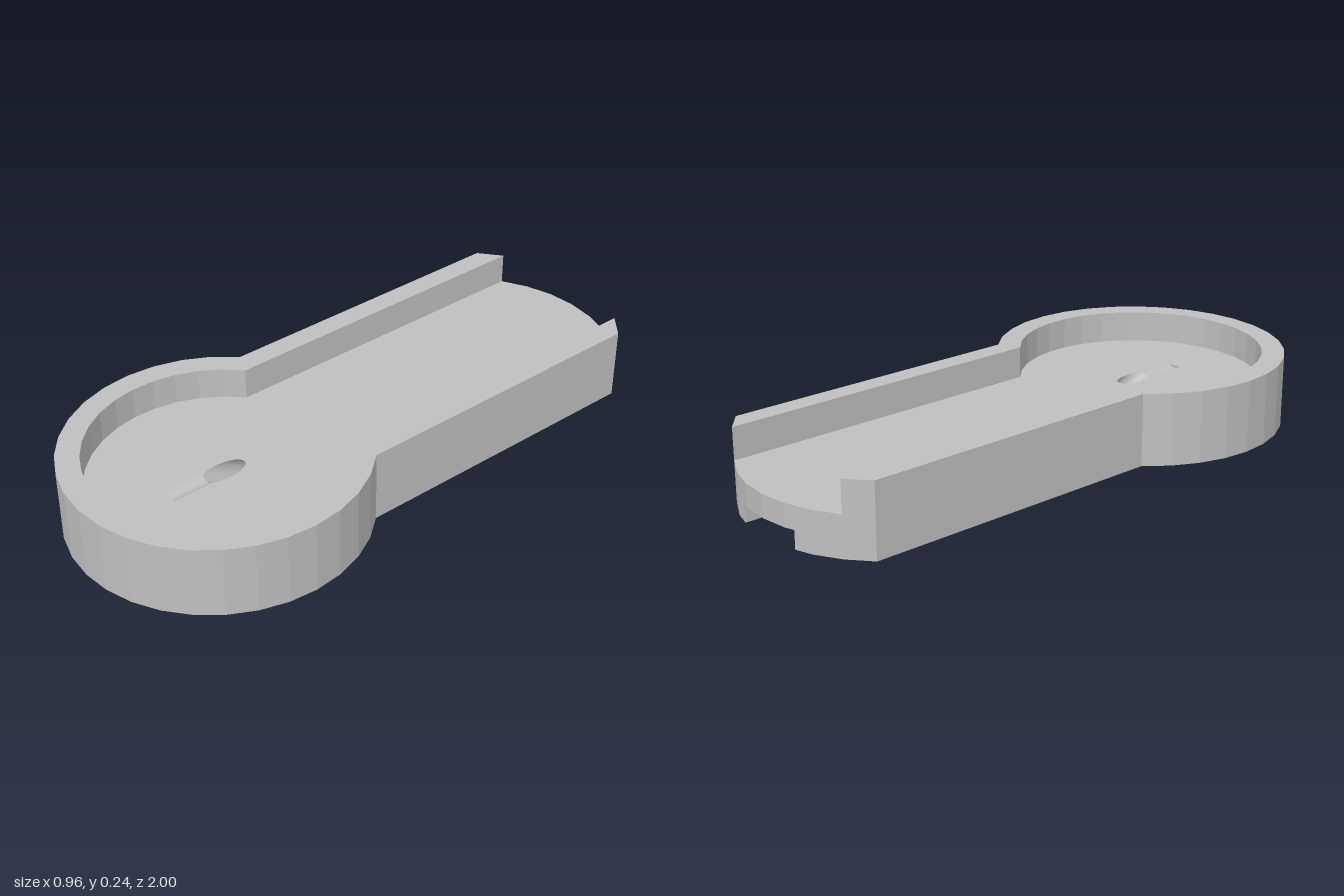
import * as THREE from 'three';

const H = 0.24, FLOOR = 0.135, CEIL = 0.06;      // rim, tray floor, slot ceiling heights
const SLOT = 0.125, SLOT_Z = 0.4, GROOVE_Z = 0.695;
const R = 0.48, RI = 0.405, CZ = 0.52;
const BORE = 0.037, BORE_L = 0.079, SHIFT = 0.139, K = (FLOOR - CEIL) / SHIFT;
const rad = THREE.MathUtils.degToRad;

// points [x, z] on a circle, angle 0 at the front, growing towards +x
function arc(cz, r, a0, a1, n) {
  return Array.from({ length: n + 1 }, (_, i) => {
    const a = rad(a0 + (a1 - a0) * i / n);
    return [r * Math.sin(a), cz + r * Math.cos(a)];
  });
}

const range = (a, b, n) => Array.from({ length: n + 1 }, (_, i) => rad(a + (b - a) * i / n));

// strip of quads between two rows of 3D points
function loft(low, high, smooth = false) {
  const pos = [...low, ...high].flat(), idx = [], n = low.length;
  for (let i = 0; i < n - 1; i++) idx.push(i, i + 1, n + i + 1, i, n + i + 1, n + i);
  let g = new THREE.BufferGeometry();
  g.setAttribute('position', new THREE.Float32BufferAttribute(pos, 3));
  g.setIndex(idx);
  if (!smooth) g = g.toNonIndexed();
  g.computeVertexNormals();
  return g;
}

// upright wall along a path of [x, z] points
const wall = (path, y0, y1) => loft(path.map(([x, z]) => [x, y0, z]), path.map(([x, z]) => [x, y1, z]));

const toVectors = (pts, s) => pts.map(([x, z]) => new THREE.Vector2(x, s * z));

// horizontal face at height y, facing up or down
function face(pts, y, up, hole) {
  const s = up ? -1 : 1;
  const shape = new THREE.Shape(toVectors(pts, s));
  if (hole) shape.holes.push(new THREE.Path(toVectors(hole, s)));
  return new THREE.ShapeGeometry(shape).rotateX(s * Math.PI / 2).translate(0, y, 0);
}

// upright face in the xy plane, looking to the back
const backFace = (pts, z) =>
  new THREE.ShapeGeometry(new THREE.Shape(pts.map(([x, y]) => new THREE.Vector2(-x, y))))
    .rotateY(Math.PI).translate(0, 0, z);

export function createModel() {
  const model = new THREE.Group();
  model.name = 'keyholeTray';
  const grey = new THREE.MeshStandardMaterial({ color: 0xbfbfbf, side: THREE.DoubleSide });
  grey.name = 'grey';
  const add = (name, ...geometries) => {
    const group = new THREE.Group();
    group.name = name;
    for (const g of geometries) {
      const mesh = new THREE.Mesh(g, grey);
      mesh.name = name;
      group.add(mesh);
    }
    model.add(group);
  };

  // plan outlines
  const front = arc(CZ, R, -135, 135, 24);
  const b = arc(-CZ, R, 135, 225, 8);
  const neck = 180 - THREE.MathUtils.radToDeg(Math.asin(b[1][0] / RI));
  const inner = [b[7], ...arc(CZ, RI, -neck, neck, 26), b[1]];
  const outer = [b[7], b[8], ...front.slice(1, -1), b[0], b[1]];
  outer.splice(2, 0, front[0]);
  outer.splice(outer.length - 2, 0, front[front.length - 1]);
  const t = (b[2][0] - SLOT) / (b[2][0] - b[3][0]);
  const slotZ = b[2][1] + t * (b[3][1] - b[2][1]);
  const sR = [SLOT, slotZ], sL = [-SLOT, slotZ];
  const eR = [SLOT, SLOT_Z], eL = [-SLOT, SLOT_Z];

  // slanted bore, described by the angle u around it
  const boreX = u => BORE * Math.cos(u);
  const boreZ = u => 0.5 + BORE_L * Math.sin(u);
  const cut = THREE.MathUtils.radToDeg(Math.asin((SLOT_Z + SHIFT - 0.5) / BORE_L));
  const gr = 47.5;
  const grooveAxis = FLOOR + BORE * Math.cos(rad(90 - gr));
  const grooveY = u => grooveAxis - BORE * Math.sin(u);
  const along = (u, y) => [boreX(u), y, boreZ(u) - (FLOOR - y) / K];
  const boreTop = u => along(u, Math.sin(u) > Math.sin(rad(gr)) ? grooveY(u) : FLOOR);
  const boreBottom = u => along(u, Math.max(0, Math.sin(u) > Math.sin(rad(cut))
    ? FLOOR - (boreZ(u) - SLOT_Z) * K : CEIL));
  const grooveU = range(gr, 180 - gr, 10);
  const endU = range(cut, 180 - cut, 14);
  const around = [...range(cut, gr, 3), ...grooveU.slice(1), ...range(180 - gr, 180 - cut, 3).slice(1),
    ...range(180 - cut, 360 + cut, 28).slice(1)];
  const gx = boreX(rad(gr));

  // raised rim with its outer and inner walls
  add('rim', wall(outer, 0, H), wall([...inner].reverse(), FLOOR, H),
    face([...outer, ...inner.slice(1, -1).reverse()], H, true));

  // tray floor with the keyhole opening
  const keyhole = [...range(180 - gr, 360 + gr, 32).map(u => [boreX(u), boreZ(u)]),
    [gx, GROOVE_Z], [-gx, GROOVE_Z]];
  add('trayFloor', face([...inner, ...b.slice(2, 7)], FLOOR, true, keyhole));

  // curved end of the tray
  add('trayEnd', wall([b[1], b[2], sR], 0, FLOOR), wall([sL, b[6], b[7]], 0, FLOOR),
    wall([sR, b[3], b[4], b[5], sL], CEIL, FLOOR));

  // underside
  add('underside', face([...front, ...b.slice(0, 3), sR, eR, eL, sL, ...b.slice(6)], 0, false));

  // slot in the underside, notched where the bore enters
  const ceilingNotch = range(180 - cut, 360 + cut, 28).map(u => [boreX(u), boreZ(u) - SHIFT]);
  const endNotch = endU.map(u => [boreX(u), FLOOR - (boreZ(u) - SLOT_Z) * K]);
  add('cableSlot', wall([sR, eR], 0, CEIL), wall([eL, sL], 0, CEIL),
    face([sR, b[3], b[4], b[5], sL, eL, ...ceilingNotch, eR], CEIL, false),
    backFace([[SLOT, 0], [SLOT, CEIL], ...endNotch, [-SLOT, CEIL], [-SLOT, 0]], SLOT_Z));

  // bore from the slot up to the floor
  add('cableBore', loft(around.map(boreTop), around.map(boreBottom), true));

  // shallow groove running on from the bore
  add('cableGroove',
    loft(grooveU.map(u => [boreX(u), grooveY(u), GROOVE_Z]), grooveU.map(boreTop), true),
    backFace(grooveU.map(u => [boreX(u), grooveY(u)]), GROOVE_Z));

  return model;
}
